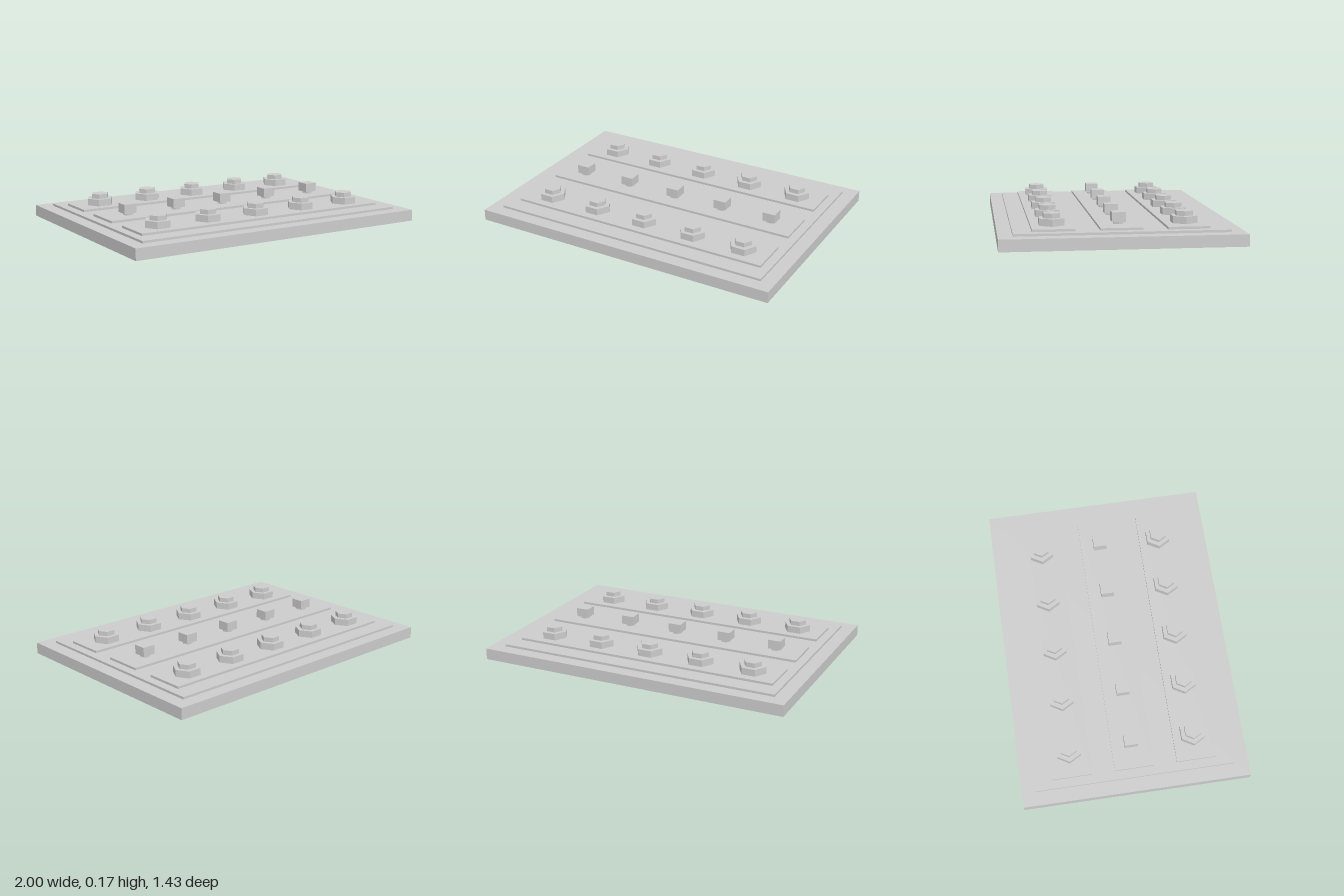
import * as THREE from 'three';

const material = new THREE.MeshStandardMaterial({ color: 0xcccccc, flatShading: true });

// Every part is placed by the height of its bottom and top.
function addPart(parent, name, geometry, x, bottom, top, z) {
  const mesh = new THREE.Mesh(geometry, material);
  mesh.name = name;
  mesh.position.set(x, (bottom + top) / 2, z);
  parent.add(mesh);
  return mesh;
}

function slab(parent, name, width, depth, bottom, top, x = 0, z = 0) {
  return addPart(parent, name, new THREE.BoxGeometry(width, top - bottom, depth), x, bottom, top, z);
}

// Hexagonal prism with corners pointing along x.
function hexPrism(parent, name, radius, bottom, top, x, z) {
  const geometry = new THREE.CylinderGeometry(radius, radius, top - bottom, 6).rotateY(Math.PI / 2);
  return addPart(parent, name, geometry, x, bottom, top, z);
}

export function createModel() {
  const model = new THREE.Group();
  model.name = 'controlPanel';

  // Stepped base
  slab(model, 'base', 2, 1.428, 0, 0.0714);
  slab(model, 'facePlate', 1.826, 1.257, 0.0714, 0.0857);

  const spacing = 0.343;
  for (const z of [-0.393, 0, 0.393]) {
    const row = new THREE.Group();
    row.name = z === 0 ? 'switchRow' : 'knobRow';
    model.add(row);
    slab(row, 'strip', 1.716, 0.249, 0.0857, 0.1, 0, z);

    for (let i = -2; i <= 2; i++) {
      const x = i * spacing;
      if (z === 0) {
        // Square cap on a short stem
        hexPrism(row, 'switchStem', 0.033, 0.1, 0.1143, x, z);
        slab(row, 'switchCap', 0.083, 0.083, 0.1143, 0.1714, x, z);
      } else {
        // Two-tier hexagonal knob
        hexPrism(row, 'knobBase', 0.0857, 0.1, 0.1429, x, z);
        hexPrism(row, 'knobCap', 0.0565, 0.1429, 0.1714, x, z);
      }
    }
  }
  return model;
}
